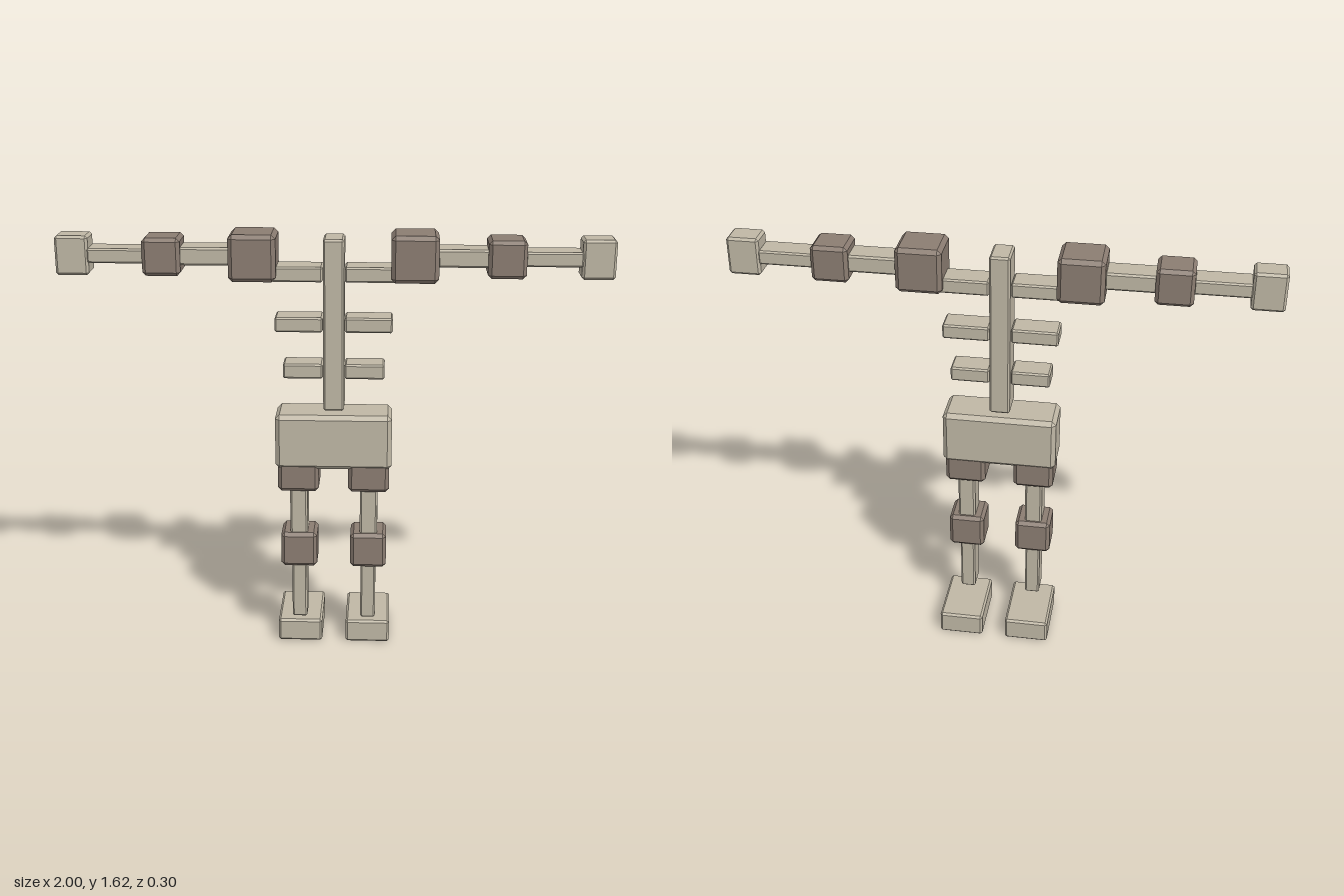
import * as THREE from 'three';
import { ConvexGeometry } from 'three/addons/geometries/ConvexGeometry.js';

// Box with flat chamfered edges, given by its min/max extents
function chamferBox([x0, x1], [y0, y1], [z0, z1], c) {
  const h = [(x1 - x0) / 2, (y1 - y0) / 2, (z1 - z0) / 2];
  const pts = [];
  for (const sx of [-1, 1]) for (const sy of [-1, 1]) for (const sz of [-1, 1])
    for (let k = 0; k < 3; k++) {
      const d = [0, 1, 2].map((i) => (i === k ? h[i] : h[i] - c));
      pts.push(new THREE.Vector3(sx * d[0], sy * d[1], sz * d[2]));
    }
  return new ConvexGeometry(pts);
}

export function createModel() {
  const model = new THREE.Group();
  model.name = 'skeletonFigure';

  const bone = new THREE.MeshStandardMaterial({ color: 0xbfb7a5 });
  bone.name = 'bone';
  const joint = new THREE.MeshStandardMaterial({ color: 0x8b7d72 });
  joint.name = 'joint';

  function add(name, material, x, y, z, c) {
    const mesh = new THREE.Mesh(chamferBox(x, y, z, c), material);
    mesh.position.set((x[0] + x[1]) / 2, (y[0] + y[1]) / 2, (z[0] + z[1]) / 2);
    mesh.name = name;
    model.add(mesh);
  }

  // Central parts
  add('spine', bone, [-0.038, 0.038], [0.96, 1.597], [0.005, 0.125], 0.007);
  add('pelvis', bone, [-0.216, 0.216], [0.736, 0.947], [-0.017, 0.151], 0.016);

  // Paired parts: name, material, x, y and z extents on the left side, chamfer
  const pairs = [
    // Ribcage
    ['Collarbone', bone, [0.04, 0.225], [1.44, 1.495], [0.013, 0.113], 0.006],
    ['UpperRib', bone, [0.04, 0.214], [1.255, 1.31], [0.016, 0.115], 0.006],
    ['LowerRib', bone, [0.04, 0.186], [1.08, 1.135], [0.016, 0.115], 0.006],
    // Arm
    ['Shoulder', joint, [0.205, 0.375], [1.445, 1.615], [-0.019, 0.151], 0.015],
    ['UpperArm', bone, [0.37, 0.555], [1.497, 1.562], [0.012, 0.112], 0.007],
    ['Elbow', joint, [0.548, 0.685], [1.46, 1.597], [-0.008, 0.129], 0.013],
    ['Forearm', bone, [0.68, 0.885], [1.502, 1.555], [0.015, 0.111], 0.006],
    ['Hand', bone, [0.88, 1.0], [1.457, 1.6], [0.012, 0.112], 0.009],
    // Leg
    ['Hip', joint, [0.055, 0.208], [0.645, 0.798], [-0.011, 0.146], 0.014],
    ['Thigh', bone, [0.099, 0.165], [0.46, 0.655], [0.017, 0.116], 0.007],
    ['Knee', joint, [0.063, 0.2], [0.332, 0.469], [-0.003, 0.134], 0.013],
    ['Shin', bone, [0.103, 0.16], [0.11, 0.34], [0.019, 0.114], 0.006],
    ['Foot', bone, [0.046, 0.216], [0, 0.09], [-0.151, 0.108], 0.008],
  ];
  for (const [name, mat, x, y, z, c] of pairs) {
    add('left' + name, mat, x, y, z, c);
    add('right' + name, mat, [-x[1], -x[0]], y, z, c);
  }
  return model;
}
